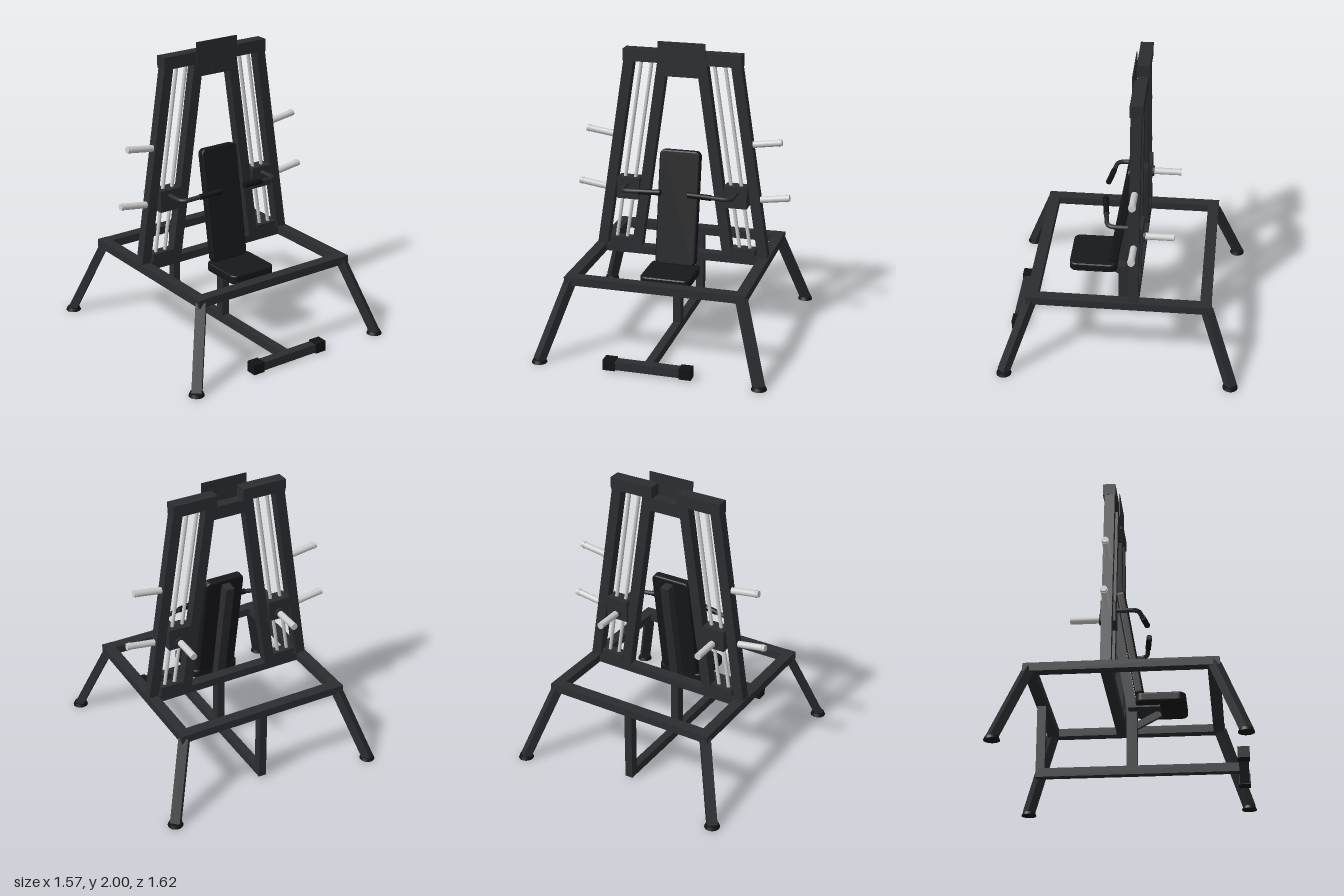
import * as THREE from 'three';

const V = (x, y, z) => new THREE.Vector3(x, y, z);
const mat = (color) => new THREE.MeshStandardMaterial({ color });

export function createModel() {
  const model = new THREE.Group();
  model.name = 'chestPressMachine';
  const frame = mat(0x2b2d31), rubber = mat(0x121314), pad = mat(0x17181a), steel = mat(0xcccccc);

  function add(name, geometry, material, parent = model) {
    const mesh = new THREE.Mesh(geometry, material);
    mesh.name = name;
    parent.add(mesh);
    return mesh;
  }
  // Axis-aligned box given by its limits
  function box(name, x0, x1, y0, y1, z0, z1, material = frame, parent = model) {
    const m = add(name, new THREE.BoxGeometry(x1 - x0, y1 - y0, z1 - z0), material, parent);
    m.position.set((x0 + x1) / 2, (y0 + y1) / 2, (z0 + z1) / 2);
    return m;
  }
  // Rectangular tube between two points
  function bar(name, a, b, w, h, material = frame, parent = model) {
    const m = add(name, new THREE.BoxGeometry(w, h, a.distanceTo(b)), material, parent);
    m.position.copy(a).lerp(b, 0.5);
    m.lookAt(b);
    return m;
  }
  // Round rod between two points
  function rod(name, a, b, r, material = steel, parent = model) {
    const g = new THREE.CylinderGeometry(r, r, a.distanceTo(b), 20).rotateX(Math.PI / 2);
    const m = add(name, g, material, parent);
    m.position.copy(a).lerp(b, 0.5);
    m.lookAt(b);
    return m;
  }
  // Upholstered pad: rounded outline w by h, thickness t along z
  function cushion(name, w, h, t, r) {
    const bevel = 0.012, x = w / 2 - bevel, y = h / 2 - bevel;
    const s = new THREE.Shape();
    s.moveTo(-x + r, -y);
    s.lineTo(x - r, -y).absarc(x - r, -y + r, r, -Math.PI / 2, 0);
    s.lineTo(x, y - r).absarc(x - r, y - r, r, 0, Math.PI / 2);
    s.lineTo(-x + r, y).absarc(-x + r, y - r, r, Math.PI / 2, Math.PI);
    s.lineTo(-x, -y + r).absarc(-x + r, -y + r, r, Math.PI, Math.PI * 1.5);
    const g = new THREE.ExtrudeGeometry(s, {
      depth: t - 2 * bevel, bevelThickness: bevel, bevelSize: bevel, bevelSegments: 4, curveSegments: 8,
    });
    return add(name, g.translate(0, 0, -t / 2 + bevel), pad);
  }

  // Base frame
  for (const s of [-1, 1]) {
    box('sideBeam', s * 0.57 - 0.036, s * 0.57 + 0.036, 0.5, 0.555, -0.61, 0.61);
    box('crossBeam', -0.535, 0.535, 0.5, 0.555, s * 0.57 - 0.037, s * 0.57 + 0.037);
    for (const t of [-1, 1]) {
      bar('leg', V(s * 0.572, 0.52, t * 0.578), V(s * 0.735, 0.015, t * 0.76), 0.065, 0.055);
      const foot = add('foot', new THREE.CylinderGeometry(0.042, 0.051, 0.022, 28), rubber);
      foot.position.set(s * 0.735, 0.011, t * 0.757);
    }
  }
  box('towerBeam', -0.535, 0.535, 0.5, 0.555, -0.13, -0.06);
  box('floorBeam', -0.027, 0.027, 0.012, 0.07, -0.6, 0.71);
  box('rearPost', -0.027, 0.027, 0.07, 0.5, -0.6, -0.542);
  box('seatPost', -0.027, 0.027, 0.07, 0.5, -0.013, 0.055);

  // Foot bar with rubber ends
  box('footBar', -0.25, 0.25, 0.012, 0.07, 0.703, 0.765);
  for (const s of [-1, 1]) box('footBarCap', s * 0.254 - 0.04, s * 0.254 + 0.04, 0.006, 0.078, 0.696, 0.772, rubber);

  // Seat
  const seat = cushion('seatPad', 0.34, 0.325, 0.062, 0.035);
  seat.rotation.x = -Math.PI / 2;
  seat.position.set(0, 0.483, 0.215);
  box('seatPlate', -0.1, 0.1, 0.44, 0.455, 0.0, 0.21);
  bar('seatStrut', V(0, 0.345, 0.045), V(0, 0.43, 0.205), 0.026, 0.045);

  // Backrest
  const back = cushion('backPad', 0.28, 0.78, 0.058, 0.025);
  back.rotation.x = -0.168;
  back.position.set(0, 0.888, 0.016);
  bar('backSupport', V(0, 0.47, 0.02), V(0, 1.235, -0.11), 0.06, 0.066);

  // Head of the towers
  box('headLink', -0.12, 0.12, 1.765, 1.855, -0.13, -0.062);
  const sign = new THREE.Shape([
    [-0.16, 1.82], [-0.03, 1.82], [-0.03, 1.795], [0.03, 1.795], [0.03, 1.82], [0.16, 1.82], [0.16, 2], [-0.16, 2],
  ].map(([x, y]) => new THREE.Vector2(x, y)));
  add('headPlate', new THREE.ExtrudeGeometry(sign, { depth: 0.007, bevelEnabled: false }), frame)
    .position.z = -0.056;

  // Weight towers, one per side
  for (const s of [-1, 1]) {
    const tower = new THREE.Group();
    tower.name = s > 0 ? 'leftTower' : 'rightTower';
    model.add(tower);
    const P = (x, y, z = -0.095) => V(s * x, y, z);
    const span = (a, b) => [Math.min(s * a, s * b), Math.max(s * a, s * b)];

    bar('outerPost', P(0.568, 0.53), P(0.364, 1.87), 0.068, 0.068, frame, tower);
    bar('innerPost', P(0.322, 0.53), P(0.133, 1.86), 0.068, 0.068, frame, tower);
    box('towerHead', ...span(0.092, 0.402), 1.853, 1.935, -0.14, -0.056, frame, tower);
    box('towerFoot', ...span(0.35, 0.51), 0.55, 0.607, -0.13, -0.06, frame, tower);
    for (const d of [-0.036, 0.036]) rod('guideRod', P(0.435 + d, 0.59), P(0.248 + d, 1.86), 0.012, steel, tower);

    // Sliding carriage with its rear plate horn
    box('carriage', ...span(0.295, 0.452), 0.895, 1.042, -0.145, -0.048, frame, tower);
    rod('hornCollar', P(0.375, 0.94, -0.14), P(0.375, 0.94, -0.158), 0.036, frame, tower);
    rod('plateHorn', P(0.375, 0.94, -0.15), P(0.375, 0.94, -0.345), 0.023, steel, tower);

    // Storage pegs on the outer post
    for (const [x, y] of [[0.46, 1.333], [0.52, 0.955]]) {
      const at = (t) => P(x + t, y + t * 0.147);
      bar('pegBase', at(-0.02), at(0.015), 0.07, 0.06, frame, tower);
      rod('storagePeg', at(0), at(0.212), 0.022, steel, tower);
      rod('pegRim', at(0.19), at(0.196), 0.025, steel, tower);
    }

    // Press handle
    const path = new THREE.CurvePath();
    const pts = [P(0.378, 1.0, -0.06), P(0.378, 1.0, 0.05), P(0.375, 1.0, 0.095), P(0.32, 1.005, 0.1), P(0.1, 1.022, 0.128)];
    path.add(new THREE.LineCurve3(pts[0], pts[1]));
    path.add(new THREE.QuadraticBezierCurve3(pts[1], pts[2], pts[3]));
    path.add(new THREE.LineCurve3(pts[3], pts[4]));
    add('handle', new THREE.TubeGeometry(path, 60, 0.015, 14), frame, tower);
    rod('handGrip', P(0.25, 1.01, 0.109), P(0.092, 1.023, 0.129), 0.019, rubber, tower);
  }
  return model;
}
